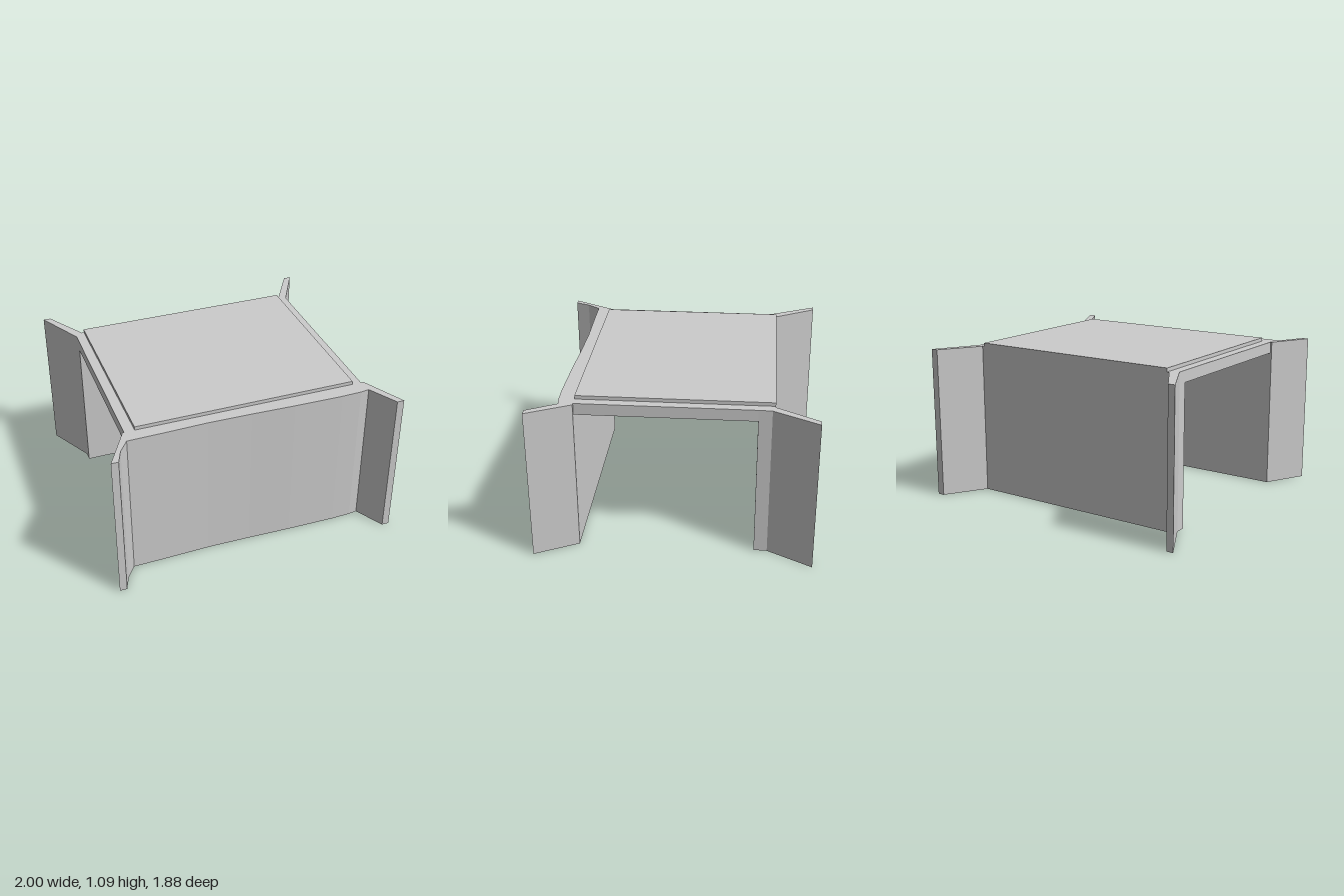
import * as THREE from 'three';

const WALL_H = 1.065;

export function createModel() {
  const model = new THREE.Group();
  const mat = new THREE.MeshStandardMaterial({ color: 0xcccccc, flatShading: true });

  // Extrude a plan outline of [x, z] points upward from y0 to y1
  function prism(name, plan, y0, y1) {
    const shape = new THREE.Shape(plan.map(([x, z]) => new THREE.Vector2(x, -z)));
    const geo = new THREE.ExtrudeGeometry(shape, { depth: y1 - y0, bevelEnabled: false });
    geo.rotateX(-Math.PI / 2).translate(0, y0, 0);
    const mesh = new THREE.Mesh(geo, mat);
    mesh.name = name;
    model.add(mesh);
  }

  // Front wall with flared wings and a gently uneven outer face
  prism('frontWall', [
    [-0.83, 0.645], [-0.845, 0.645], [-1, 0.93], [-0.95, 0.93], [-0.91, 0.83], [-0.845, 0.74],
    [-0.6, 0.737], [-0.3, 0.73], [0, 0.736], [0.3, 0.746], [0.64, 0.752], [0.78, 0.748],
    [0.84, 0.74], [0.95, 0.937], [1, 0.937], [0.85, 0.645], [0.83, 0.645],
  ], 0, WALL_H);

  // Back wall with longer flared wings
  prism('backWall', [
    [-0.83, -0.545], [0.83, -0.545], [0.833, -0.635], [1, -0.937], [0.95, -0.937],
    [0.78, -0.655], [-0.78, -0.655], [-0.95, -0.94], [-1, -0.94], [-0.83, -0.612],
  ], 0, WALL_H);

  // Deck spanning between the walls
  prism('deck', [
    [-0.835, 0.645], [0.83, 0.645], [0.83, -0.545], [-0.83, -0.545],
  ], 0.985, WALL_H);

  // Thin raised slab on the deck
  prism('topSlab', [
    [-0.765, 0.645], [0.765, 0.645], [0.765, -0.655], [-0.765, -0.655],
  ], WALL_H, 1.09);

  return model;
}
